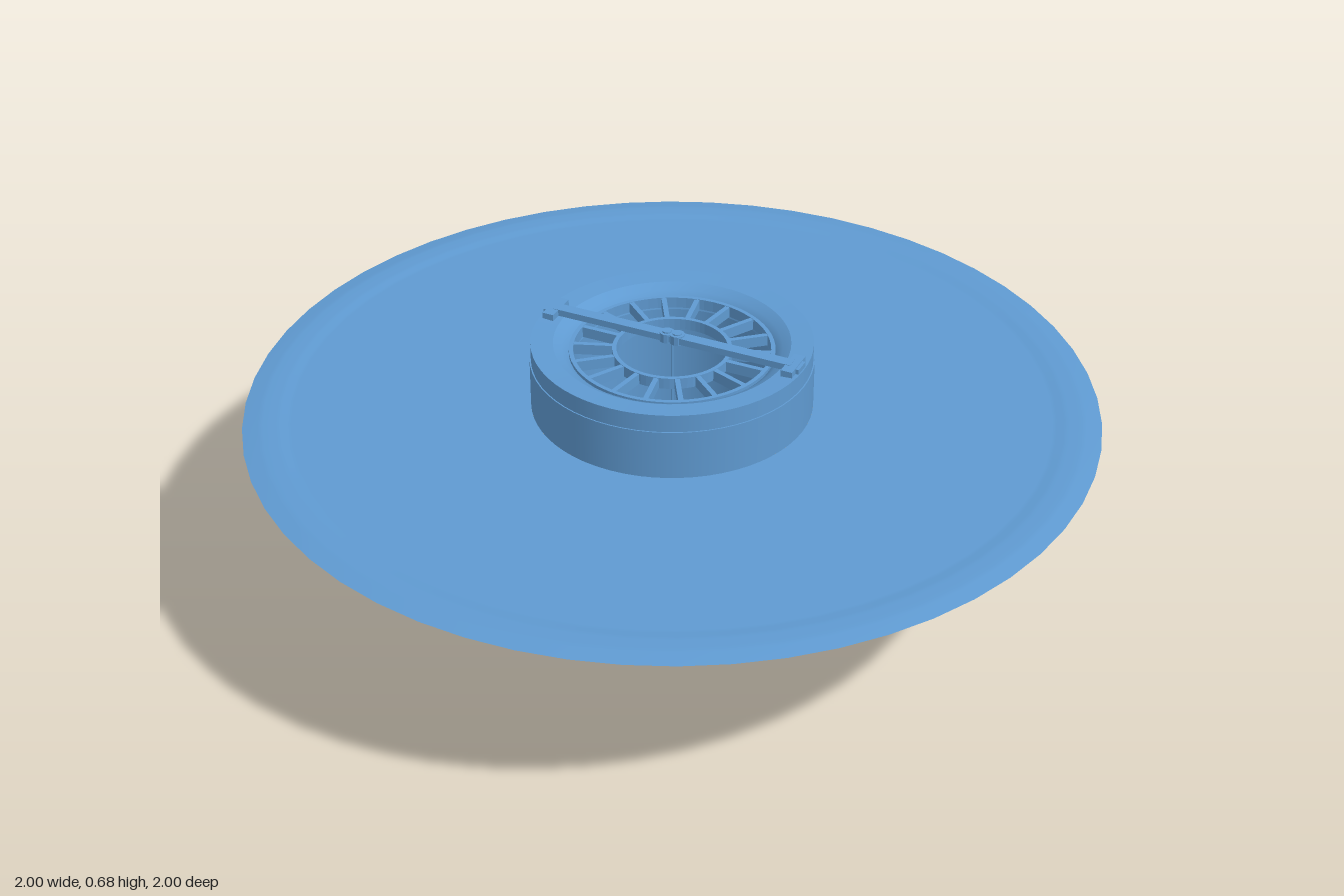
import * as THREE from 'three';

const material = new THREE.MeshStandardMaterial({ color: 0x5f9ad1, side: THREE.DoubleSide });

function add(parent, name, geometry, x = 0, y = 0, z = 0) {
  const mesh = new THREE.Mesh(geometry, material);
  mesh.name = name;
  mesh.position.set(x, y, z);
  parent.add(mesh);
  return mesh;
}

const lathe = (points, segments = 64) =>
  new THREE.LatheGeometry(points.map(([r, y]) => new THREE.Vector2(r, y)), segments);

// Gives every facet its own normals, for crisp edges
function faceted(geometry) {
  const flat = geometry.toNonIndexed();
  flat.computeVertexNormals();
  return flat;
}

export function createModel() {
  const model = new THREE.Group();
  model.name = 'floorDrain';

  // Thin sealing collar with a slightly raised outer band and a drooping edge
  add(model, 'sealingCollar', lathe([
    [0.33, 0.5], [0.885, 0.5], [0.895, 0.5005], [0.91, 0.503], [0.92, 0.5035],
    [0.95, 0.5035], [0.962, 0.5025], [0.998, 0.496],
  ], 56));

  // Hollow housing: skirt below, separate top ring above
  add(model, 'housingSkirt', lathe([[0.33, 0.5], [0.33, 0.62]]));
  add(model, 'ringJoint', lathe([[0.33, 0.62], [0.327, 0.62]]));
  add(model, 'topRingWall', lathe([[0.327, 0.62], [0.327, 0.663]]));
  add(model, 'topRingFace', lathe([[0.327, 0.663], [0.275, 0.66]]));
  add(model, 'funnel', lathe([[0.275, 0.66], [0.255, 0.648], [0.235, 0.63], [0.23, 0.61]]));

  // Open outlet pipe
  add(model, 'outletPipe', lathe([[0.23, 0.61], [0.23, 0]]));

  // Grate: two rings joined by radial ribs
  const grate = new THREE.Group();
  grate.name = 'grate';
  model.add(grate);
  for (const [name, inner, outer] of [['innerRing', 0.129, 0.139], ['outerRing', 0.229, 0.239]]) {
    add(grate, name, faceted(lathe([
      [inner, 0.615], [outer, 0.615], [outer, 0.642], [inner, 0.642], [inner, 0.615],
    ])));
  }
  const ribGeometry = new THREE.BoxGeometry(0.1, 0.026, 0.012);
  for (let i = 0; i < 18; i++) {
    const a = (i * Math.PI) / 9;
    add(grate, 'rib', ribGeometry, 0.184 * Math.cos(a), 0.628, -0.184 * Math.sin(a)).rotation.y = a;
  }

  // Cross bar with T-shaped ends resting on the rim
  const bar = new THREE.Group();
  bar.name = 'crossBar';
  model.add(bar);
  add(bar, 'barBeam', new THREE.BoxGeometry(0.6, 0.016, 0.028), 0, 0.67, 0);
  const headGeometry = faceted(new THREE.CylinderGeometry(0.018, 0.018, 0.022, 12));
  const capGeometry = faceted(new THREE.CylinderGeometry(0.011, 0.011, 0.004, 12));
  for (const side of [-1, 1]) {
    add(bar, 'barEnd', new THREE.BoxGeometry(0.028, 0.016, 0.08), side * 0.302, 0.669, 0);
    add(bar, 'barTip', new THREE.BoxGeometry(0.012, 0.012, 0.04), side * 0.318, 0.669, 0);
    // Paired fastener heads at the middle
    add(bar, 'fastenerHead', headGeometry, side * 0.013, 0.67, 0);
    add(bar, 'fastenerCap', capGeometry, side * 0.013, 0.682, 0);
  }

  // Thin pull rod hanging down the middle of the pipe
  add(model, 'centreRod', new THREE.CylinderGeometry(0.003, 0.003, 0.65, 8), 0, 0.345, 0);

  return model;
}
